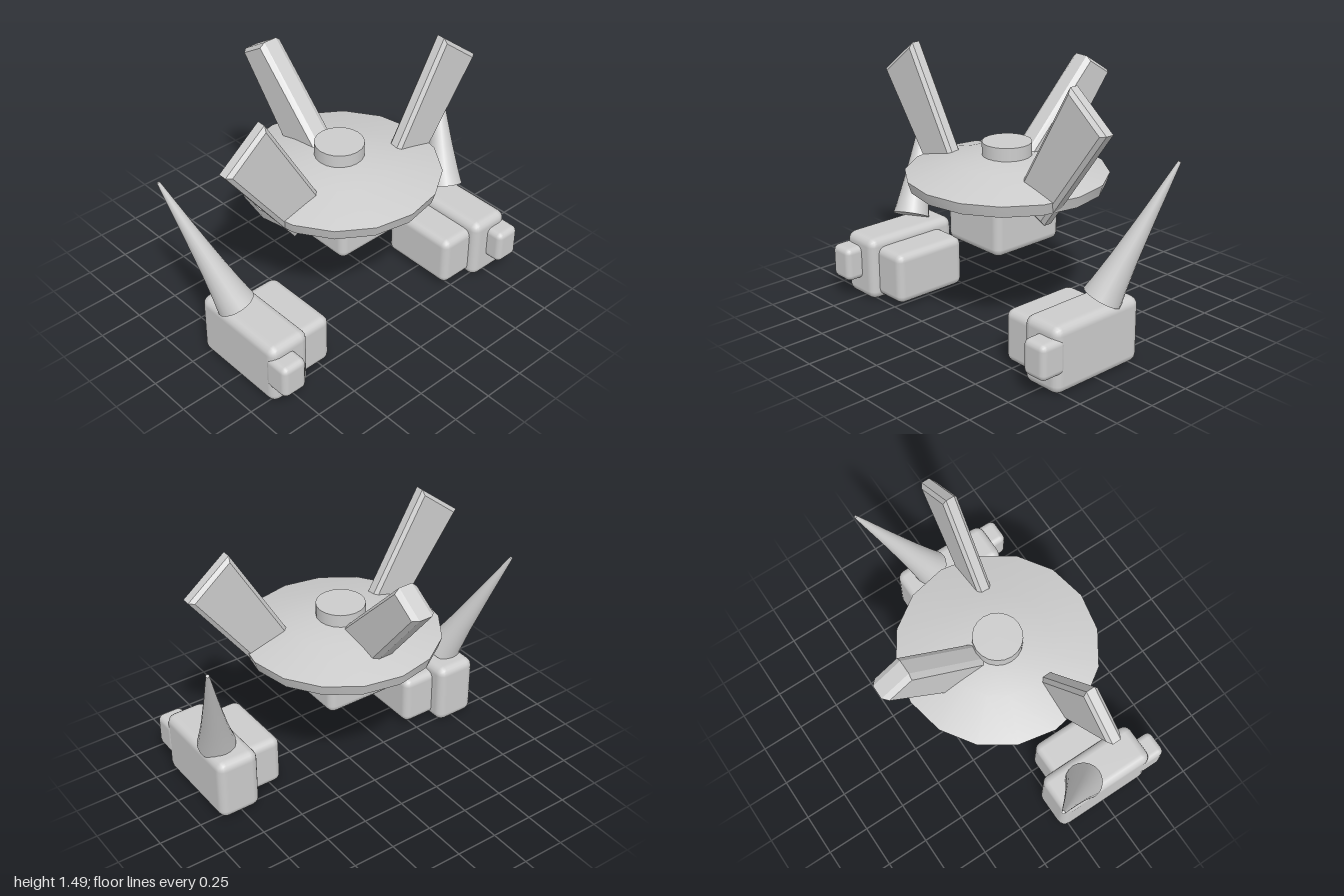
import * as THREE from 'three';
import { toCreasedNormals } from 'three/addons/utils/BufferGeometryUtils.js';
import { RoundedBoxGeometry } from 'three/addons/geometries/RoundedBoxGeometry.js';

const hull = new THREE.MeshStandardMaterial({ color: 0xcccccc });
hull.name = 'hullGrey';

const CENTRE_Z = 0.08;

function add(parent, name, geometry) {
  const mesh = new THREE.Mesh(geometry, hull);
  mesh.name = name;
  parent.add(mesh);
  return mesh;
}

// Rounded block given by its extents on each axis
function block(parent, name, [x0, x1], [y0, y1], [z0, z1], radius) {
  const geometry = new RoundedBoxGeometry(x1 - x0, y1 - y0, z1 - z0, 2, radius);
  geometry.translate((x0 + x1) / 2, (y0 + y1) / 2, (z0 + z1) / 2);
  return add(parent, name, geometry);
}

// Bevelled plate from an outline, centred on its own thickness
function plate(points, thickness, bevel, inset) {
  const shape = new THREE.Shape(points.map(([x, y]) => new THREE.Vector2(x, y)));
  const depth = thickness - 2 * bevel;
  const geometry = new THREE.ExtrudeGeometry(shape, {
    depth, bevelEnabled: true, bevelSegments: 1,
    bevelThickness: bevel, bevelSize: inset, bevelOffset: -inset,
  });
  return geometry.translate(0, 0, -depth / 2);
}

function lathe(points, sides) {
  const profile = points.map(([r, y]) => new THREE.Vector2(r, y));
  return toCreasedNormals(new THREE.LatheGeometry(profile, sides), 0.6);
}

// Tapered spike running from base to tip
function spike(parent, base, tip) {
  const axis = tip.clone().sub(base);
  const length = axis.length();
  const mesh = add(parent, 'spike', lathe([
    [0, 0], [0.107, 0], [0.093, 0.08], [0.07, 0.24], [0.038, 0.52], [0.009, length], [0, length],
  ], 20));
  mesh.position.copy(base);
  mesh.quaternion.setFromUnitVectors(new THREE.Vector3(0, 1, 0), axis.normalize());
}

export function createModel() {
  const model = new THREE.Group();
  model.name = 'model';

  // Central saucer, hub and belly block
  const saucer = add(model, 'saucer', lathe([
    [0, 0.745], [0.22, 0.745], [0.54, 0.795], [0.56, 0.86], [0.3, 0.932], [0.13, 0.957], [0, 0.96],
  ], 16));
  saucer.position.z = CENTRE_Z;

  const hub = add(model, 'hub', new THREE.CylinderGeometry(0.137, 0.137, 0.13, 20));
  hub.position.set(0, 0.965, CENTRE_Z);

  block(model, 'belly', [-0.21, 0.21], [0.472, 0.77], [-0.12, 0.338], 0.045);

  // Rear fin, outlined in the z-y plane
  const rearFin = plate([[-0.48, 1.413], [-0.65, 1.303], [-0.196, 0.735], [0.05, 0.87]], 0.14, 0.03, 0.02);
  add(model, 'rearFin', rearFin.rotateY(-Math.PI / 2));

  for (const s of [1, -1]) {
    const side = s > 0 ? 'left' : 'right';
    const span = (a, b) => (s > 0 ? [a, b] : [-b, -a]);

    // Side fin passing through the saucer
    const outline = [[0.223, 0.805], [0.446, 0.706], [0.874, 1.289], [0.623, 1.485]];
    const fin = plate(outline.map(([x, y]) => [s * x, y]), 0.084, 0.018, 0.022);
    add(model, side + 'Fin', fin).position.z = 0.2;

    // Foot with its inner block, toe and spike
    const foot = new THREE.Group();
    foot.name = side + 'Foot';
    model.add(foot);
    block(foot, 'outerBlock', span(0.635, 0.886), [0, 0.375], [-0.05, 0.55], 0.05);
    block(foot, 'innerBlock', span(0.442, 0.74), [0.025, 0.325], [0.035, 0.5], 0.045);
    block(foot, 'toe', span(0.735, 0.889), [0.115, 0.315], [0.485, 0.647], 0.035);
    spike(foot, new THREE.Vector3(s * 0.79, 0.39, 0.14), new THREE.Vector3(s * 0.988, 1.1, -0.188));
  }

  return model;
}
